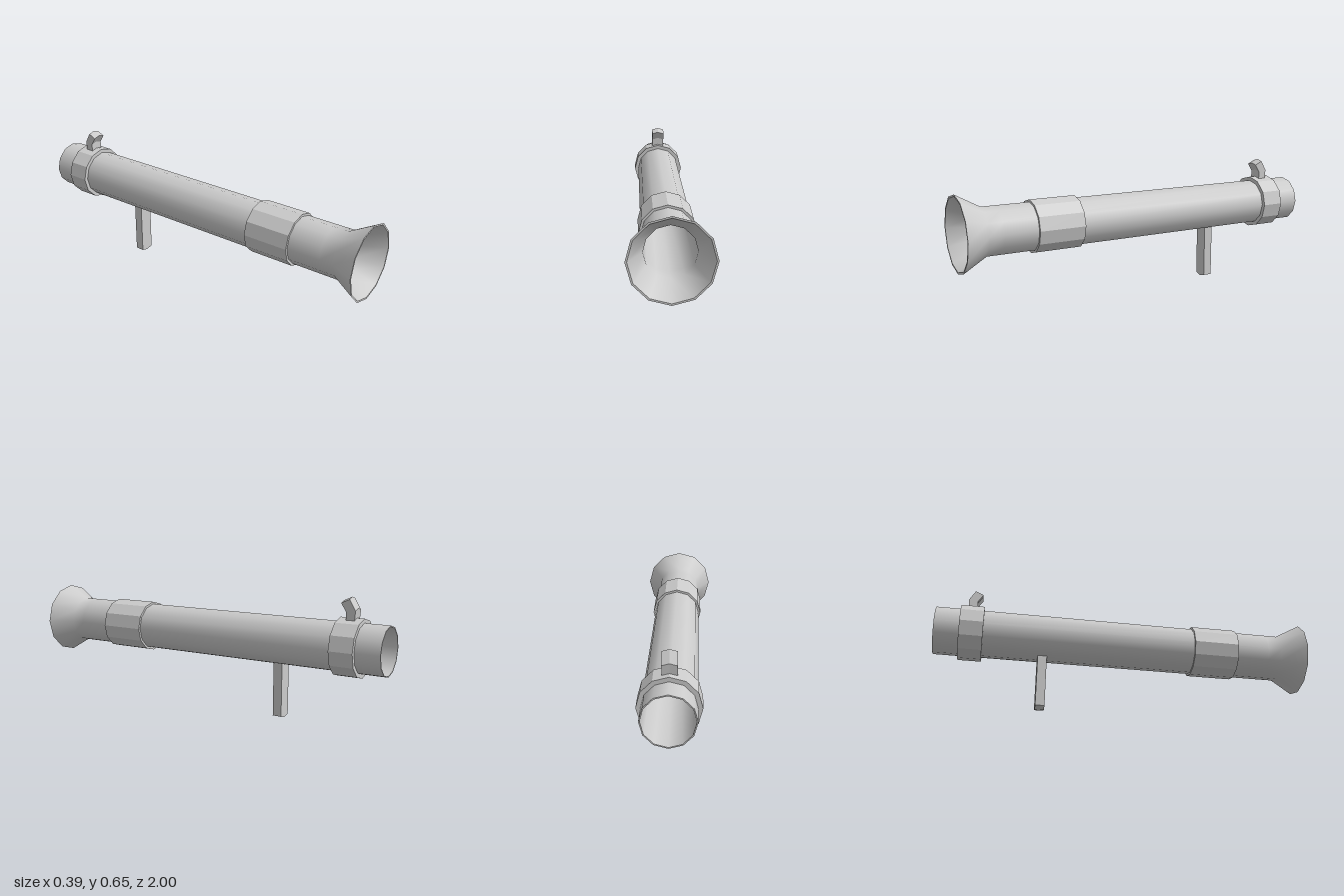
import * as THREE from 'three';

const SIDES = 12;
const AXIS_Y = 0.404;

export function createModel() {
  const group = new THREE.Group();
  const grey = new THREE.MeshStandardMaterial({ color: 0xcccccc });
  grey.name = 'grey metal';

  const add = (name, geometry) => {
    const mesh = new THREE.Mesh(geometry, grey);
    mesh.name = name;
    group.add(mesh);
  };

  // Twelve-sided surface turned around the barrel axis; profile is [radius, z]
  const turned = (profile, flat = false) => {
    let geo = new THREE.LatheGeometry(profile.map(([r, z]) => new THREE.Vector2(r, z)), SIDES);
    if (flat) {
      geo = geo.toNonIndexed();
      geo.computeVertexNormals();
    }
    return geo.rotateX(Math.PI / 2).translate(0, AXIS_Y, 0);
  };

  // Bar with a [z, y] side profile, folded along its middle to follow the barrel facets
  const foldedBar = (profile, halfWidth) => {
    const shape = new THREE.Shape(profile.map(([z, y]) => new THREE.Vector2(z, y)));
    const geo = new THREE.ExtrudeGeometry(shape, { depth: halfWidth * 2, steps: 2, bevelEnabled: false });
    geo.rotateY(-Math.PI / 2).translate(halfWidth, 0, 0);
    return geo;
  };
  const fold = (geo, slope) => {
    const p = geo.attributes.position;
    for (let i = 0; i < p.count; i++) p.setY(i, p.getY(i) + Math.abs(p.getX(i)) * slope);
    geo.computeVertexNormals();
    return geo;
  };

  // Barrel with flared mouth, open right through
  add('barrelOuter', turned([[0.125, -1], [0.125, 0.8], [0.125, 0.875], [0.195, 1]]));
  add('barrelInner', turned([[0.186, 1], [0.119, 0.875], [0.119, 0.8], [0.119, -1]]));
  add('mouthRim', turned([[0.195, 1], [0.186, 1]], true));
  add('rearRim', turned([[0.119, -1], [0.125, -1]], true));

  // Collars around the barrel
  const collar = (name, r, z0, z1) =>
    add(name, turned([[0.122, z0], [r, z0], [r, z1], [0.122, z1]], true));
  collar('frontCollar', 0.137, 0.38, 0.625);
  collar('rearCollar', 0.146, -0.872, -0.75);

  // Grip below the barrel
  const slope = Math.tan(Math.PI / 12);
  add('grip', fold(foldedBar([[-0.458, 0], [-0.41, 0], [-0.41, 0.281], [-0.458, 0.281]], 0.038), slope));

  // Bent sight on the rear collar
  add('sight', fold(foldedBar([
    [-0.834, 0.548], [-0.79, 0.548], [-0.79, 0.59],
    [-0.764, 0.631], [-0.806, 0.651], [-0.838, 0.597],
  ], 0.035), -slope));

  return group;
}
